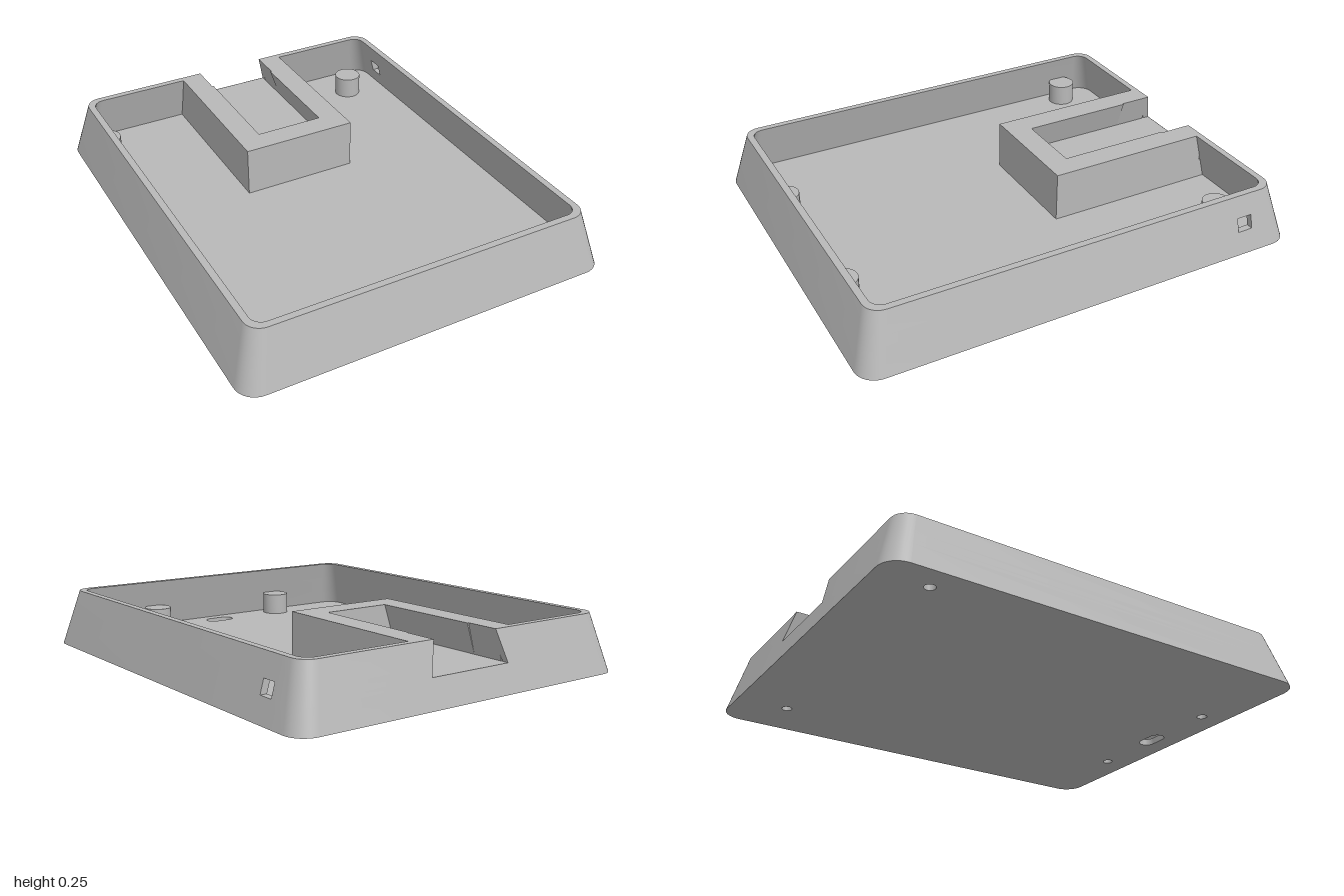
import * as THREE from 'three';
import { toCreasedNormals } from 'three/addons/utils/BufferGeometryUtils.js';

const H = 0.255, FLOOR = 0.03, SLOT = 0.12, LEAN = 0.07;

// Half-width of the dovetail notch at a given height
const notch = (y) => (y <= SLOT ? 0.2 : 0.2 - 0.037 * (y - SLOT) / (H - SLOT));

// Rounded rectangle at height y, from one side of the back notch round to the other
const PORT = 10; // index of the segment that holds the side port
function loop(y, inset) {
  const t = y / H, w = notch(y);
  const hx = 0.835 - LEAN * t - inset, hz = 1 - LEAN * t - inset;
  const r = 0.09 - 0.02 * t - inset * 0.6;
  const pts = [new THREE.Vector3(w, y, -hz)];
  [[1, -1], [1, 1], [-1, 1], [-1, -1]].forEach(([sx, sz], c) => {
    for (let i = 0; i <= 8; i++) {
      const a = (c - 1 + i / 8) * Math.PI / 2;
      pts.push(new THREE.Vector3(sx * (hx - r) + r * Math.cos(a), y, sz * (hz - r) + r * Math.sin(a)));
    }
    if (c === 0) for (const z of [-0.8, -0.73]) pts.push(new THREE.Vector3(hx, y, z));
  });
  pts.push(new THREE.Vector3(-w, y, -hz));
  return pts;
}

// Leaning wall with a back notch and a side port
function wallGeometry() {
  const spec = [[0, 0.02], [0, 0], [0.1, 0], [SLOT, 0], [0.16, 0], [H, 0],
    [H, 0.03], [0.16, 0.03], [SLOT, 0.03], [0.1, 0.03], [FLOOR, 0.03]];
  const R = spec.map(([y, inset]) => loop(y, inset));
  const n = R[0].length, pos = [];
  const quad = (a, b, c, d) => [a, b, c, a, c, d].forEach((p) => pos.push(p.x, p.y, p.z));
  for (let i = 0; i < R.length - 1; i++) {
    const lo = Math.min(spec[i][0], spec[i + 1][0]), hi = Math.max(spec[i][0], spec[i + 1][0]);
    for (let k = 0; k < n; k++) {
      const m = (k + 1) % n;
      if (k === n - 1 && hi > SLOT) continue;
      if (k === PORT && lo >= 0.1 && hi <= 0.16) continue;
      quad(R[i][k], R[i + 1][k], R[i + 1][m], R[i][m]);
    }
  }
  // Notch ends
  quad(R[3][0], R[8][0], R[6][0], R[5][0]);
  quad(R[3][n - 1], R[5][n - 1], R[6][n - 1], R[8][n - 1]);
  // Port tunnel
  const ring = (a, b) => [R[a][PORT], R[b][PORT], R[b][PORT + 1], R[a][PORT + 1]];
  const O = ring(2, 4), I = ring(9, 7);
  for (let j = 0; j < 4; j++) quad(O[j], O[(j + 1) % 4], I[(j + 1) % 4], I[j]);
  const g = new THREE.BufferGeometry();
  g.setAttribute('position', new THREE.Float32BufferAttribute(pos, 3));
  return toCreasedNormals(g, 0.5);
}

export function createModel() {
  const group = new THREE.Group();
  const grey = new THREE.MeshStandardMaterial({ color: 0xb8b8b8, side: THREE.DoubleSide });
  grey.name = 'plain grey';
  const add = (name, geometry, x = 0, y = 0, z = 0) => {
    const mesh = new THREE.Mesh(geometry, grey);
    mesh.name = name;
    mesh.position.set(x, y, z);
    group.add(mesh);
    return mesh;
  };
  const posts = [[-0.72, -0.77], [0.6, -0.77], [-0.352, 0.88], [0.352, 0.88]];

  add('wall', wallGeometry());

  // Floor with screw holes and an oval cable opening
  const outline = new THREE.Shape(loop(0, 0.02).map((p) => new THREE.Vector2(p.x, -p.z)));
  for (const [x, z] of posts) {
    outline.holes.push(new THREE.Path().absarc(x, -z, 0.023, 0, Math.PI * 2, true));
  }
  const oval = new THREE.Path();
  oval.absarc(0.034, -0.875, 0.037, -Math.PI / 2, Math.PI / 2, false);
  oval.absarc(-0.034, -0.875, 0.037, Math.PI / 2, Math.PI * 1.5, false);
  oval.closePath();
  outline.holes.push(oval);
  const floor = new THREE.ExtrudeGeometry(outline, { depth: FLOOR, bevelEnabled: false, curveSegments: 16 });
  floor.rotateX(-Math.PI / 2);
  add('floor', floor);

  // Screw posts, bored from below
  const profile = [[0, 0.1], [0.023, 0.1], [0.023, FLOOR], [0.063, FLOOR], [0.063, 0.13], [0, 0.13]]
    .map(([r, y]) => new THREE.Vector2(r, y));
  const post = toCreasedNormals(new THREE.LatheGeometry(profile, 32), 0.6);
  posts.forEach(([x, z]) => add('screwPost', post, x, 0, z));

  // Block with a dovetail slot that opens through the back wall
  const box = (name, w, y0, y1, z0, z1) =>
    add(name, new THREE.BoxGeometry(w, y1 - y0, z1 - z0), 0, (y0 + y1) / 2, (z0 + z1) / 2);
  box('slotBase', 0.53, FLOOR, SLOT, -0.966, -0.155);
  box('slotEnd', 0.53, SLOT, H, -0.265, -0.155);
  for (const s of [1, -1]) {
    for (const [top, z0, z1] of [[0.156, -0.78, -0.265], [0.163, -0.93, -0.78]]) {
      const section = new THREE.Shape([[0.2, SLOT], [0.265, SLOT], [0.265, H], [top, H]]
        .map(([x, y]) => new THREE.Vector2(s * x, y)));
      add('slotSide', new THREE.ExtrudeGeometry(section, { depth: z1 - z0, bevelEnabled: false }), 0, 0, z0);
    }
  }
  return group;
}
